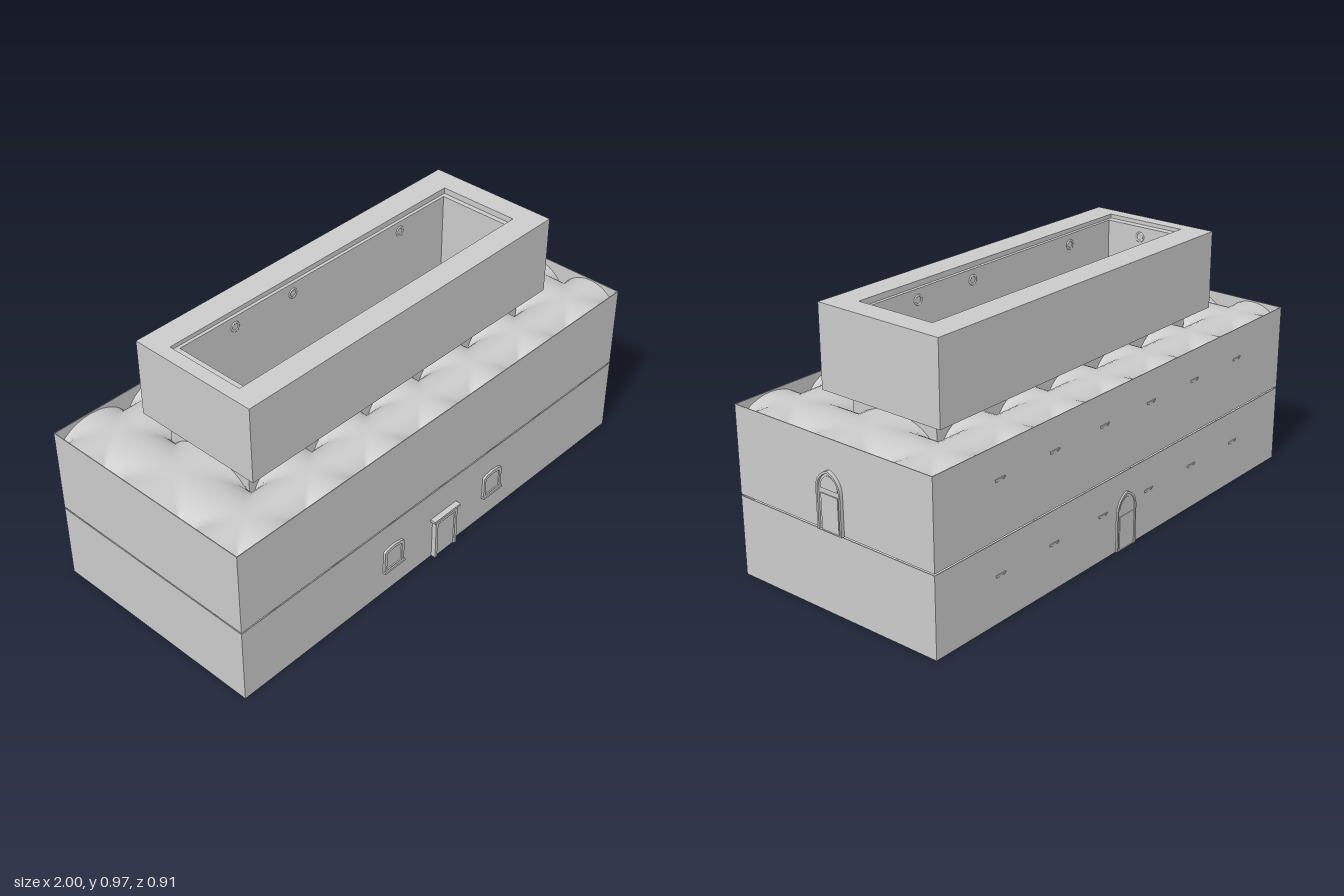
import * as THREE from 'three';

const material = new THREE.MeshStandardMaterial({ color: 0xcccccc, side: THREE.DoubleSide });

// Plan rectangles: [x0, x1, z0, z1]
const OUTER = [-1, 0.985, -0.45, 0.435];
const BASE = [-0.705, 0.69, -0.197, 0.182];
const COURT = [-0.665, 0.655, -0.162, 0.137];
const PARAPET = [-0.748, 0.765, -0.282, 0.248];
const OPENING = [-0.695, 0.675, -0.175, 0.15];

// Bay lines of the vaulted gallery
const BAY_X = [-1, -0.69, -0.41, -0.14, 0.13, 0.4, 0.675, 0.985];
const BAY_Z = [-0.45, -0.197, 0.182, 0.435];

function add(parent, name, geometry, x = 0, y = 0, z = 0) {
  const mesh = new THREE.Mesh(geometry, material);
  mesh.name = name;
  mesh.position.set(x, y, z);
  parent.add(mesh);
  return mesh;
}

const inset = ([x0, x1, z0, z1], t) => [x0 + t, x1 - t, z0 + t, z1 - t];

// Rectangular ring of walls standing between two heights
function ring(outer, inner, y0, y1) {
  const outline = ([x0, x1, z0, z1]) =>
    [[x0, -z1], [x1, -z1], [x1, -z0], [x0, -z0]].map(([x, y]) => new THREE.Vector2(x, y));
  const shape = new THREE.Shape(outline(outer));
  shape.holes.push(new THREE.Path(outline(inner).reverse()));
  return new THREE.ExtrudeGeometry(shape, { depth: y1 - y0, bevelEnabled: false })
    .rotateX(-Math.PI / 2).translate(0, y0, 0);
}

// One groin-vaulted bay: the higher of two crossing barrels
function vaultBay(x0, x1, z0, z1, spring, rise) {
  const n = 18;
  const geometry = new THREE.PlaneGeometry(1, 1, n, n).rotateX(-Math.PI / 2);
  const p = geometry.attributes.position;
  for (let i = 0; i < p.count; i++) {
    const a = Math.PI * (p.getX(i) + 0.5);
    const b = Math.PI * (p.getZ(i) + 0.5);
    p.setXYZ(i,
      x0 + (x1 - x0) * (1 - Math.cos(a)) / 2,
      spring + rise * Math.max(Math.sin(a), Math.sin(b)),
      z0 + (z1 - z0) * (1 - Math.cos(b)) / 2);
  }
  geometry.computeVertexNormals();
  return geometry;
}

// Gently pointed arch outline
function archPath(Type, width, spring, height, y0 = 0) {
  const w = width / 2, path = new Type();
  const shoulder = spring + (height - spring) * 0.72;
  path.moveTo(-w, y0);
  path.lineTo(w, y0);
  path.lineTo(w, spring);
  path.quadraticCurveTo(w * 0.95, shoulder, 0, height);
  path.quadraticCurveTo(-w * 0.95, shoulder, -w, spring);
  path.lineTo(-w, y0);
  return path;
}

const extrude = (shape, depth) =>
  new THREE.ExtrudeGeometry(shape, { depth, bevelEnabled: false, curveSegments: 12 });

// Arched doorway facing +z with its sill at the origin
function archedDoor(name) {
  const door = new THREE.Group();
  door.name = name;
  const frame = archPath(THREE.Shape, 0.11, 0.15, 0.22);
  frame.holes.push(archPath(THREE.Path, 0.096, 0.15, 0.211, 0.002));
  add(door, 'doorFrame', extrude(frame, 0.013));
  add(door, 'doorRecess', extrude(archPath(THREE.Shape, 0.1, 0.15, 0.214), 0.004));
  add(door, 'doorLeaf', new THREE.BoxGeometry(0.076, 0.13, 0.008), 0, 0.067, 0.004);
  add(door, 'fanlight', extrude(archPath(THREE.Shape, 0.076, 0.16, 0.2, 0.15), 0.007));
  return door;
}

// Window with a segmental head, facing +z, centred on its base
function archedWindow(name) {
  const group = new THREE.Group();
  group.name = name;
  const frame = archPath(THREE.Shape, 0.1, 0.092, 0.106);
  frame.holes.push(archPath(THREE.Path, 0.078, 0.082, 0.092, 0.012));
  add(group, 'windowFrame', extrude(frame, 0.009));
  add(group, 'windowPane', new THREE.BoxGeometry(0.084, 0.084, 0.004), 0, 0.05, 0.002);
  add(group, 'windowSill', new THREE.BoxGeometry(0.104, 0.009, 0.014), 0, 0.004, 0.007);
  return group;
}

export function createModel() {
  const model = new THREE.Group();
  model.name = 'courtyardBuilding';

  // Ground slab
  const [x0, x1, z0, z1] = OUTER;
  add(model, 'groundSlab', new THREE.BoxGeometry(x1 - x0, 0.006, z1 - z0),
    (x0 + x1) / 2, 0.003, (z0 + z1) / 2);

  // Two storeys: outer walls, vaults and wall corbels
  const storeys = [
    { name: 'lower', y0: 0, y1: 0.3, spring: 0.175, rise: 0.12 },
    { name: 'upper', y0: 0.306, y1: 0.635, spring: 0.515, rise: 0.115 },
  ];
  for (const s of storeys) {
    const storey = new THREE.Group();
    storey.name = s.name + 'Storey';
    model.add(storey);
    add(storey, 'outerWalls', ring(OUTER, inset(OUTER, 0.003), s.y0, s.y1));

    for (let i = 0; i < 7; i++) for (let j = 0; j < 3; j++) {
      if (j === 1 && i > 0 && i < 6) continue;
      add(storey, 'vaultBay',
        vaultBay(BAY_X[i], BAY_X[i + 1], BAY_Z[j], BAY_Z[j + 1], s.spring, s.rise));
    }

    const corbel = new THREE.CylinderGeometry(0.034, 0.022, 0.03, 4, 1).rotateY(Math.PI / 4);
    const y = s.spring - 0.01;
    for (const x of BAY_X.slice(1, -1)) {
      add(storey, 'corbel', corbel, x, y, z0 + 0.021);
      add(storey, 'corbel', corbel, x, y, z1 - 0.025);
    }
    for (const z of BAY_Z.slice(1, -1)) {
      add(storey, 'corbel', corbel, x0 + 0.025, y, z);
      add(storey, 'corbel', corbel, x1 - 0.025, y, z);
    }
  }

  // Courtyard walls, floor band and the overhanging parapet
  add(model, 'courtyardWalls', ring(BASE, COURT, 0, 0.95));
  add(model, 'floorBand', ring([-0.715, 0.7, -0.205, 0.19], COURT, 0.298, 0.306));
  const parapet = ring(PARAPET, OPENING, 0.665, 0.969);
  const p = parapet.attributes.position;
  for (let i = 0; i < p.count; i++) {
    if (p.getY(i) > 0.9) p.setY(i, p.getY(i) + 0.006 * p.getX(i));
  }
  parapet.computeVertexNormals();
  add(model, 'parapet', parapet);

  // Round openings high on the courtyard walls
  const oculus = (x, z, turn) => {
    const group = new THREE.Group();
    group.name = 'oculus';
    add(group, 'oculusRim', new THREE.TorusGeometry(0.016, 0.004, 8, 20));
    add(group, 'oculusPane', new THREE.CircleGeometry(0.014, 20), 0, 0, 0.001);
    group.position.set(x, 0.91, z);
    group.rotation.y = turn;
    model.add(group);
  };
  for (const x of [-0.42, -0.145, 0.41]) oculus(x, COURT[2], 0);
  for (const x of [0.41, 0.13, -0.42]) oculus(x, COURT[3], Math.PI);
  oculus(COURT[0], -0.01, Math.PI / 2);

  // Arched doors on the left end and the back
  const sideDoor = archedDoor('sideDoor');
  sideDoor.position.set(x1, 0.306, -0.005);
  sideDoor.rotation.y = Math.PI / 2;
  const backDoor = archedDoor('backDoor');
  backDoor.position.set(-0.005, 0, z0);
  backDoor.rotation.y = Math.PI;
  backDoor.scale.z = 0.5;
  model.add(sideDoor, backDoor);

  // Front door with surround and lintel
  const front = new THREE.Group();
  front.name = 'frontDoor';
  front.position.set(-0.007, 0, z1);
  for (const side of [-1, 1]) {
    add(front, 'doorJamb', new THREE.BoxGeometry(0.012, 0.17, 0.018), side * 0.053, 0.085, 0.009);
  }
  add(front, 'doorHead', new THREE.BoxGeometry(0.118, 0.016, 0.018), 0, 0.162, 0.009);
  add(front, 'lintel', new THREE.BoxGeometry(0.14, 0.01, 0.022), 0, 0.175, 0.011);
  add(front, 'doorLeaf', new THREE.BoxGeometry(0.096, 0.154, 0.012), 0, 0.077, 0.006);
  model.add(front);

  // Front windows
  for (const [name, x] of [['rightWindow', -0.277], ['leftWindow', 0.264]]) {
    const win = archedWindow(name);
    win.position.set(x, 0.097, z1);
    model.add(win);
  }

  return model;
}
